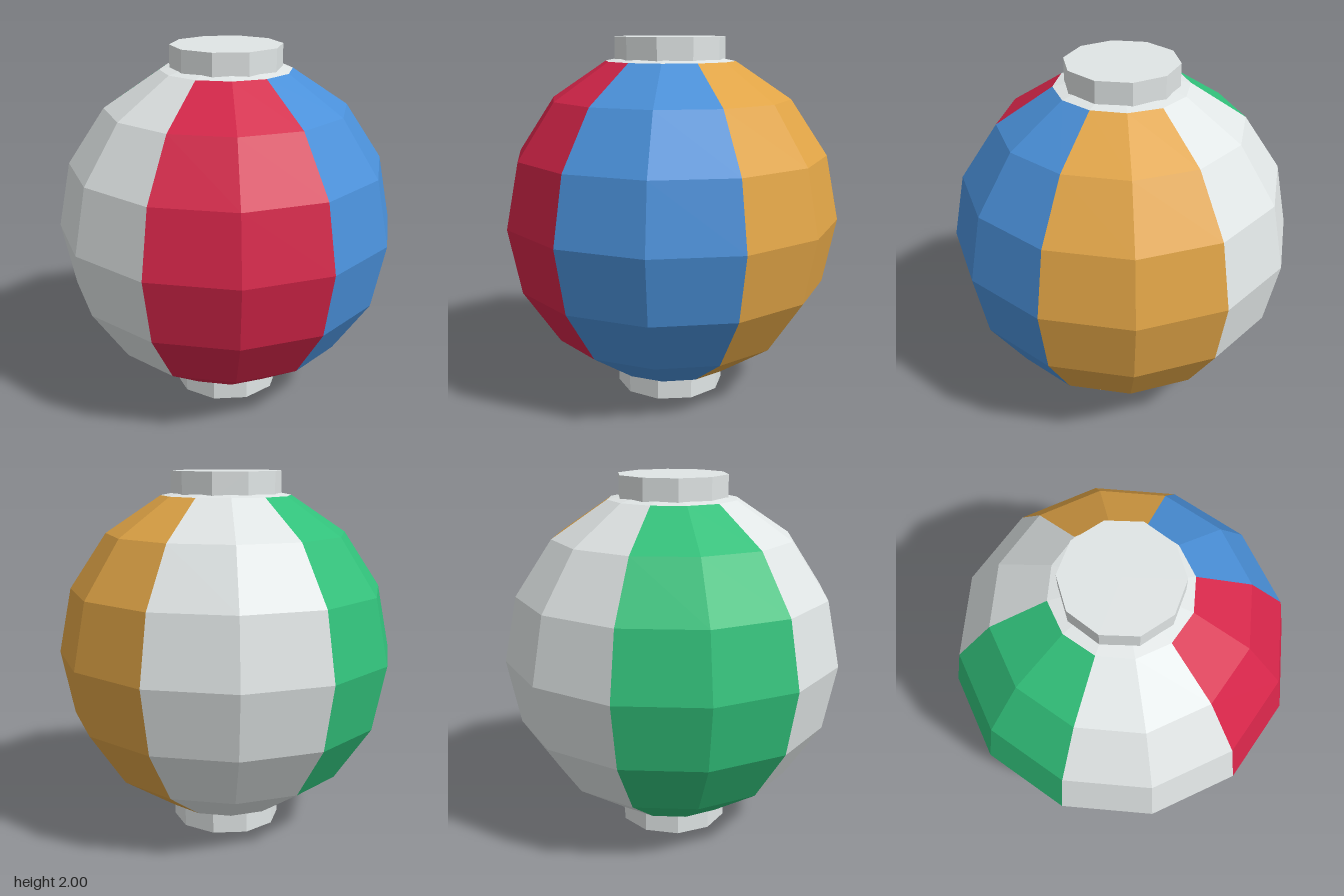
import * as THREE from 'three';

const mat = (name, color) => {
  const m = new THREE.MeshStandardMaterial({ color, flatShading: true });
  m.name = name;
  return m;
};

export function createModel() {
  const white = mat('white', 0xe0e5e5);
  const red = mat('red', 0xd42549);
  const blue = mat('blue', 0x4a90d9);
  const orange = mat('orange', 0xe0a446);
  const green = mat('green', 0x31c07a);

  const group = new THREE.Group();
  group.name = 'beachBall';
  const add = (name, geometry, material, y) => {
    const mesh = new THREE.Mesh(geometry, material);
    mesh.name = name;
    mesh.position.y = y;
    group.add(mesh);
    return mesh;
  };

  // Ball profile from bottom pole to top pole, eight bands
  const R = 0.94;
  const profile = [];
  for (let i = 0; i <= 8; i++) {
    const a = (i / 8) * Math.PI;
    profile.push(new THREE.Vector2(i % 8 ? R * Math.sin(a) : 0, -R * Math.cos(a)));
  }

  // Six coloured gores, each two facets wide, starting around +z
  const gores = [
    ['frontPanel', red], ['frontLeftPanel', blue], ['backLeftPanel', orange],
    ['backPanel', white], ['backRightPanel', green], ['frontRightPanel', white],
  ];
  gores.forEach(([name, material], i) => {
    const start = (i - 0.5) * Math.PI / 3;
    add(name, new THREE.LatheGeometry(profile.slice(1, 8), 2, start, Math.PI / 3), material, 1);
  });

  // Shallow white cones closing both poles
  add('bottomPole', new THREE.LatheGeometry(profile.slice(0, 2), 12), white, 1);
  add('topPole', new THREE.LatheGeometry(profile.slice(7), 12), white, 1);

  // Ten-sided end caps
  const h = 0.14;
  const capGeometry = new THREE.CylinderGeometry(0.305, 0.305, h, 10).rotateY(Math.PI / 2);
  add('bottomCap', capGeometry, white, h / 2);
  add('topCap', capGeometry, white, 2 - h / 2);

  return group;
}
